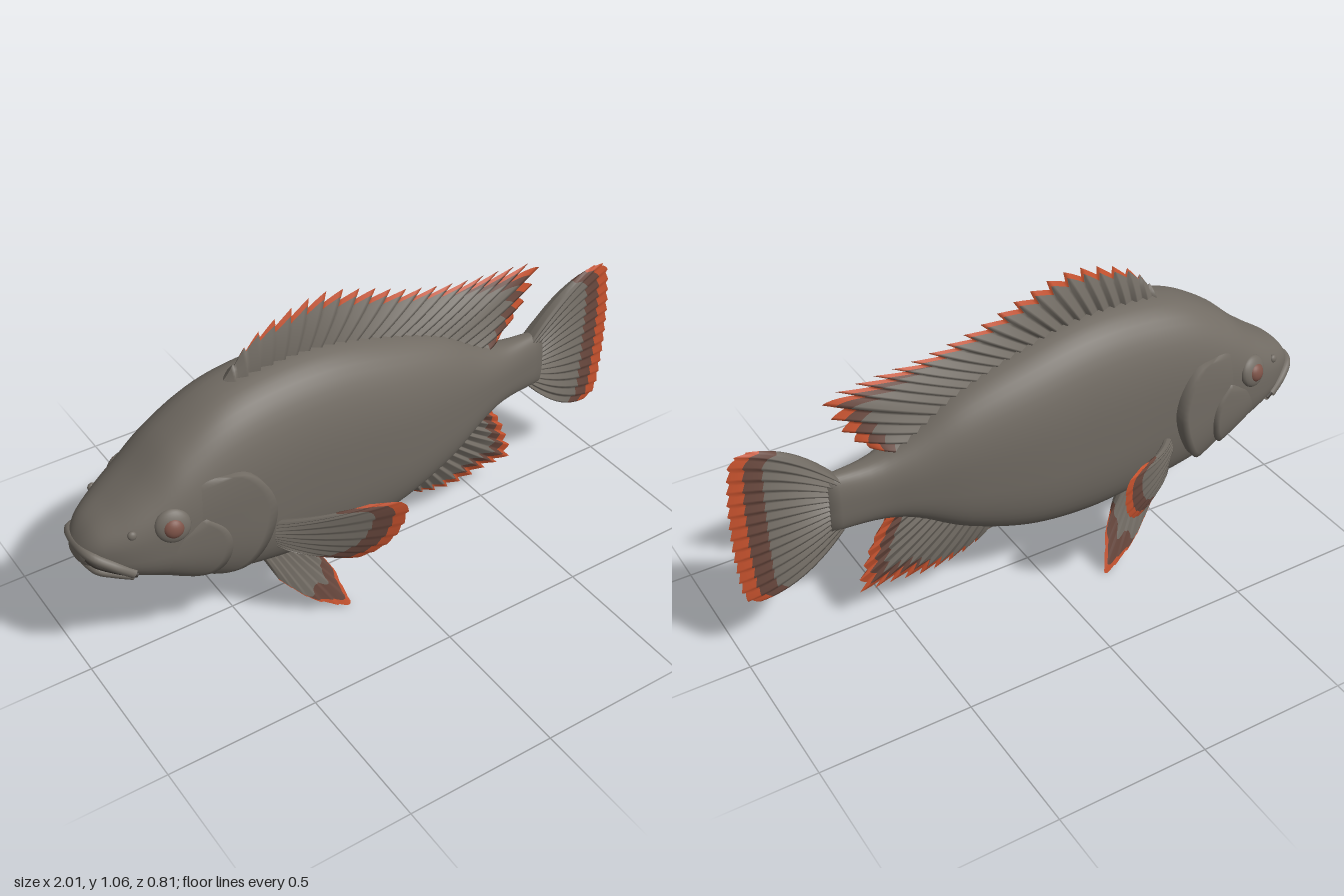
import * as THREE from 'three';
import { mergeVertices } from 'three/addons/utils/BufferGeometryUtils.js';

const mat = (name, color, side = THREE.DoubleSide) => {
  const m = new THREE.MeshStandardMaterial({ color, side });
  m.name = name;
  return m;
};

// Body stations: x, top, bottom, half width
const STATIONS = [
  [-1.0, 0.515, 0.465, 0.035], [-0.98, 0.55, 0.445, 0.07], [-0.95, 0.583, 0.43, 0.1],
  [-0.88, 0.63, 0.397, 0.14], [-0.8, 0.69, 0.36, 0.165], [-0.69, 0.785, 0.305, 0.18],
  [-0.53, 0.873, 0.25, 0.187], [-0.34, 0.908, 0.215, 0.186], [-0.15, 0.905, 0.2, 0.186],
  [0.06, 0.856, 0.225, 0.177], [0.275, 0.778, 0.3, 0.143], [0.44, 0.675, 0.393, 0.097],
  [0.54, 0.632, 0.417, 0.065], [0.7, 0.622, 0.42, 0.035],
];

// Smooth interpolation of one station column
function station(x, col) {
  const S = STATIONS, n = S.length;
  let i = 0;
  while (i < n - 2 && x > S[i + 1][0]) i++;
  const slope = (k) => {
    const a = S[Math.max(k - 1, 0)], b = S[Math.min(k + 1, n - 1)];
    return (b[col] - a[col]) / (b[0] - a[0]);
  };
  const h = S[i + 1][0] - S[i][0];
  const t = THREE.MathUtils.clamp((x - S[i][0]) / h, 0, 1), t2 = t * t, t3 = t2 * t;
  return (2 * t3 - 3 * t2 + 1) * S[i][col] + (t3 - 2 * t2 + t) * h * slope(i)
    + (3 * t2 - 2 * t3) * S[i + 1][col] + (t3 - t2) * h * slope(i + 1);
}

const power = (y) => (y > 0 ? 2.5 : 3); // belly is squarer than the back

// Half width of the body at a given x, y
function skin(x, y) {
  const top = station(x, 1), bottom = station(x, 2);
  const t = THREE.MathUtils.clamp((y - (top + bottom) / 2) / ((top - bottom) / 2), -1, 1);
  const n = power(t);
  return station(x, 3) * Math.pow(1 - Math.pow(Math.abs(t), n), 1 / n);
}

// Grid surface from fn(i, j) -> [x, y, z]
function grid(nu, nv, fn) {
  const pos = [], idx = [];
  for (let i = 0; i <= nu; i++) for (let j = 0; j <= nv; j++) pos.push(...fn(i, j));
  for (let i = 0; i < nu; i++) for (let j = 0; j < nv; j++) {
    const a = i * (nv + 1) + j, c = a + nv + 1;
    idx.push(a, a + 1, c, a + 1, c + 1, c);
  }
  let g = new THREE.BufferGeometry();
  g.setAttribute('position', new THREE.Float32BufferAttribute(pos, 3));
  g.setIndex(idx);
  g = mergeVertices(g, 1e-5);
  g.computeVertexNormals();
  return g;
}

const curve = (pts) => new THREE.CatmullRomCurve3(
  pts.map(([x, y, z = 0]) => new THREE.Vector3(x, y, z)), false, 'centripetal');

// Ribbed fin between a base and a tip curve; bands(u) gives dark and orange widths
function finGeometry({ base, tip, bulge = () => [0, 0, 0], normal = [0, 0, 1], rays, thick, teeth, bands }) {
  const B = curve(base), T = curve(tip), N = new THREE.Vector3(...normal).normalize();
  const K = 6, nu = rays * K, rows = [7, 2, 2], nv = 11;
  const pos = [], idx = [], geo = new THREE.BufferGeometry();
  for (const s of [1, -1]) for (let i = 0; i <= nu; i++) {
    const u = i / nu, saw = (i % K) / (K - 1);
    const b = B.getPointAt(u), d = T.getPointAt(u).sub(b);
    const end = i === 0 || i === nu;
    if (!end) d.multiplyScalar(1 + teeth * (saw - 0.6));
    const len = d.length(), [dw, ow] = bands(u);
    const v2 = 1 - Math.min(ow / len, 0.4), v1 = v2 - Math.min(dw / len, 0.35);
    for (let j = 0; j <= nv; j++) {
      const v = j <= 7 ? v1 * j / 7 : j <= 9 ? v1 + (v2 - v1) * (j - 7) / 2 : v2 + (1 - v2) * (j - 9) / 2;
      const w = end ? 0 : thick * (1 - v * v) * (0.6 + 0.4 * saw);
      const p = b.clone().addScaledVector(d, v).addScaledVector(N, s * w);
      p.addScaledVector(new THREE.Vector3(...bulge(u)), 4 * v * (1 - v));
      pos.push(p.x, p.y, p.z);
    }
  }
  let j = 0;
  rows.forEach((count, m) => {
    const start = idx.length;
    for (const stop = j + count; j < stop; j++) for (const side of [0, 1]) for (let i = 0; i < nu; i++) {
      const a = (side * (nu + 1) + i) * (nv + 1) + j, c = a + nv + 1;
      if (side) idx.push(a, a + 1, c, a + 1, c + 1, c);
      else idx.push(a, c, a + 1, a + 1, c, c + 1);
    }
    geo.addGroup(start, idx.length - start, m);
  });
  geo.setAttribute('position', new THREE.Float32BufferAttribute(pos, 3));
  geo.setIndex(idx);
  geo.computeVertexNormals();
  return geo;
}

export function createModel() {
  const fish = new THREE.Group();
  fish.name = 'fish';
  const grey = mat('greySkin', 0x716b63), dark = mat('darkBand', 0x66463c);
  const orange = mat('orangeEdge', 0xc4512d), eyeRed = mat('eyeRed', 0x7d5348);
  const crease = mat('mouthCrease', 0x3d3833);
  const finMats = [grey, dark, orange];
  const add = (name, geo, material, parent = fish) => {
    const m = new THREE.Mesh(geo, material);
    m.name = name;
    parent.add(m);
    return m;
  };
  const step = THREE.MathUtils.smoothstep;

  // Body: superellipse rings closed at snout and tail root
  const NX = 72, NR = 48;
  add('body', grid(NX, NR, (i, j) => {
    const x = -1 + 1.7 * Math.pow(Math.min(Math.max(i - 1, 0) / (NX - 2), 1), 1.4);
    const top = station(x, 1), bottom = station(x, 2), k = i === 0 || i === NX ? 0 : 1;
    const a = (j % NR) / NR * Math.PI * 2, c = Math.cos(a), s = Math.sin(a), e = 2 / power(c);
    return [x, (top + bottom) / 2 + k * Math.sign(c) * Math.pow(Math.abs(c), e) * (top - bottom) / 2,
      k * Math.sign(s) * Math.pow(Math.abs(s), e) * station(x, 3)];
  }), grey);

  // Fins on the centre line
  const dorsalBase = [];
  for (let x = -0.49; x < 0.47; x += 0.095) dorsalBase.push([x, station(x, 1) - 0.025]);
  add('dorsalFin', finGeometry({
    base: dorsalBase, rays: 25, thick: 0.036, teeth: 0.2,
    tip: [[-0.48, 0.89], [-0.38, 0.99], [-0.27, 1.035], [-0.14, 1.055], [0, 1.02], [0.17, 0.96], [0.355, 0.92],
      [0.56, 0.9], [0.655, 0.875], [0.635, 0.8], [0.59, 0.72], [0.53, 0.66]],
    bands: (u) => [0.05 * step(u, 0.6, 0.8), 0.022 * step(u, 0.05, 0.2) + 0.018 * step(u, 0.5, 0.8)],
  }), finMats);
  add('analFin', finGeometry({
    base: [[0.09, 0.25], [0.2, 0.285], [0.33, 0.35], [0.45, 0.43]], rays: 15, thick: 0.034, teeth: 0.12,
    tip: [[0.12, 0.22], [0.22, 0.15], [0.36, 0.12], [0.5, 0.135], [0.605, 0.145], [0.592, 0.22],
      [0.555, 0.32], [0.51, 0.385]],
    bands: (u) => [0.055 * step(u, 0.35, 0.6), 0.012 + 0.03 * step(u, 0.1, 0.5)],
  }), finMats);
  add('tailFin', finGeometry({
    base: [[0.66, 0.615], [0.67, 0.52], [0.66, 0.425]], rays: 15, thick: 0.03, teeth: 0.03,
    tip: [[0.925, 0.8], [0.972, 0.785], [0.995, 0.68], [1.002, 0.54], [0.998, 0.4], [0.975, 0.265], [0.93, 0.245]],
    bulge: (u) => [0, 0.035 * (1 - 2 * u), 0],
    bands: () => [0.06, 0.048],
  }), finMats);

  // Paired parts, mirrored across the centre plane
  const pectoral = finGeometry({
    base: [[-0.42, 0.455, 0.175], [-0.43, 0.41, 0.18], [-0.42, 0.355, 0.17]], rays: 10, thick: 0.012, teeth: 0.02,
    normal: [-0.58, 0, 0.81], bulge: () => [-0.01, 0, 0.012],
    tip: [[-0.2, 0.535, 0.345], [-0.11, 0.535, 0.402], [-0.11, 0.46, 0.395], [-0.15, 0.37, 0.365],
      [-0.235, 0.308, 0.305], [-0.31, 0.33, 0.255]],
    bands: (u) => [0.06, 0.045 - 0.02 * u],
  });
  const splay = ([x, y]) => [x, y, 0.11 + (0.235 - y) * 0.4];
  const pelvic = finGeometry({
    base: [[-0.44, 0.26], [-0.35, 0.25], [-0.28, 0.24]].map(splay), rays: 8, thick: 0.016, teeth: 0.03,
    normal: [0, 0.37, 0.93],
    tip: [[-0.4, 0.17], [-0.31, 0.075], [-0.25, 0.035], [-0.18, 0.004], [-0.195, 0.08], [-0.207, 0.13],
      [-0.24, 0.19]].map(splay),
    bands: (u) => [0.09 * step(u, 0.25, 0.5), 0.005 + 0.025 * step(u, 0.3, 0.5) - 0.02 * step(u, 0.7, 0.9)],
  });
  // Raised plate hugging the head, with a lip along its rear edge
  const plate = (front, rear, lift) => {
    const F = curve(front), R = curve(rear), NA = 24, NB = 10;
    return grid(NA, NB, (i, j) => {
      const a = i / NA, b = Math.min(j / (NB - 1), 1);
      const p = F.getPointAt(a).lerp(R.getPointAt(a), b);
      const rise = j === NB ? -0.02 : lift * Math.pow(Math.sin(Math.PI * a), 0.5) * b - 0.004 * (1 - b);
      return [p.x, p.y, skin(p.x, p.y) + rise];
    });
  };
  const gill = plate([[-0.68, 0.7], [-0.7, 0.5], [-0.68, 0.32]],
    [[-0.6, 0.7], [-0.52, 0.69], [-0.465, 0.63], [-0.442, 0.54], [-0.475, 0.42], [-0.54, 0.33], [-0.64, 0.295]], 0.034);
  const cheek = plate([[-0.76, 0.52], [-0.8, 0.46], [-0.8, 0.39]],
    [[-0.66, 0.58], [-0.6, 0.52], [-0.59, 0.44], [-0.63, 0.36], [-0.72, 0.33]], 0.022);
  const ball = new THREE.SphereGeometry(1, 24, 16);

  for (const s of [1, -1]) {
    const side = new THREE.Group();
    side.name = s > 0 ? 'frontSideParts' : 'backSideParts';
    side.scale.z = s;
    fish.add(side);
    add('pectoralFin', pectoral, finMats, side);
    add('pelvicFin', pelvic, finMats, side);
    add('gillCover', gill, grey, side);
    add('cheek', cheek, grey, side);
    const z = skin(-0.757, 0.59);
    const spot = (name, m, x, y, zz, r, d) => {
      const e = add(name, ball, m, side);
      e.position.set(x, y, zz);
      e.scale.set(r, r, d);
      e.rotation.set(-0.25, -0.25, 0);
    };
    spot('eyeSocket', grey, -0.757, 0.59, z - 0.004, 0.054, 0.024);
    spot('eye', eyeRed, -0.76, 0.59, z + 0.007, 0.032, 0.022);
    spot('nostril', grey, -0.87, 0.58, skin(-0.87, 0.58), 0.014, 0.01);
  }

  // Mouth: lips wrapped round the snout with a dark crease between
  const lip = (name, pts, r, m) => {
    const half = pts.map(([x, y]) => [x, y, skin(x, y)]);
    const path = [...half, [pts[2][0] - 0.012, pts[2][1] + 0.003, 0],
      ...half.map(([x, y, z]) => [x, y, -z]).reverse()];
    add(name, new THREE.TubeGeometry(curve(path), 48, r, 10), m);
  };
  lip('upperLip', [[-0.875, 0.44], [-0.93, 0.48], [-0.975, 0.508]], 0.017, grey);
  lip('lowerLip', [[-0.87, 0.413], [-0.92, 0.434], [-0.965, 0.456]], 0.016, grey);
  lip('mouthCrease', [[-0.865, 0.425], [-0.925, 0.458], [-0.972, 0.482]], 0.01, crease);
  return fish;
}
